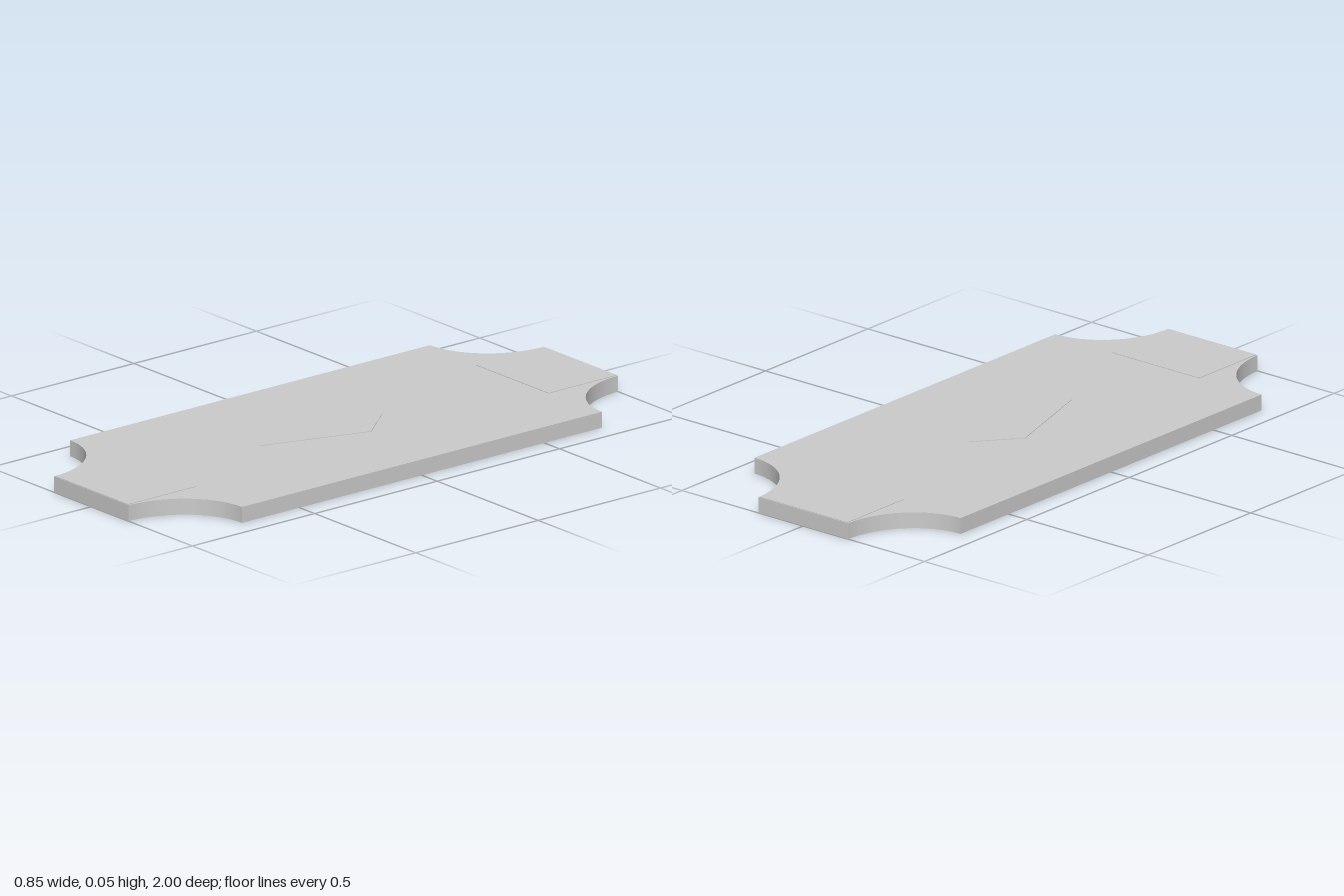
import * as THREE from 'three';

const HALF_W = 0.425, HALF_L = 1, THICK = 0.053, RAISE = 0.002;
const NOTCH_X = 0.24, NOTCH_Z = 0.265;

// Extrudes a shape drawn in (x, z) upwards from height y
function slab(name, shape, y, height, material) {
  const geometry = new THREE.ExtrudeGeometry(shape, { depth: height, bevelEnabled: false, curveSegments: 24 });
  geometry.rotateX(Math.PI / 2); // shape y becomes z, depth goes down
  geometry.translate(0, y + height, 0);
  const mesh = new THREE.Mesh(geometry, material);
  mesh.name = name;
  return mesh;
}

const polygon = (points) => new THREE.Shape(points.map(([x, z]) => new THREE.Vector2(x, z)));

export function createModel() {
  const model = new THREE.Group();
  model.name = 'notchedPlate';
  const material = new THREE.MeshStandardMaterial({ color: 0xcccccc });

  // Plate outline with a concave elliptical bite at each corner
  const outline = new THREE.Shape();
  const q = Math.PI / 2;
  outline.moveTo(HALF_W, -HALF_L + NOTCH_Z);
  [[1, 1, 3 * q], [-1, 1, 4 * q], [-1, -1, q], [1, -1, 2 * q]].forEach(([sx, sz, start]) => {
    outline.absellipse(sx * HALF_W, sz * HALF_L, NOTCH_X, NOTCH_Z, start, start - q, true);
  });
  model.add(slab('plate', outline, 0, THICK, material));

  // Thin raised panel at each end
  for (const [name, s] of [['frontPanel', 1], ['backPanel', -1]]) {
    const panel = polygon([[-0.18, s * 0.72], [0.18, s * 0.72], [0.18, s * 0.998], [-0.18, s * 0.998]]);
    model.add(slab(name, panel, THICK, RAISE, material));
  }

  // Thin raised kite in the middle, long point towards the front
  const kite = polygon([[0, 0.31], [-0.113, -0.05], [0, -0.19], [0.113, -0.05]]);
  model.add(slab('centreKite', kite, THICK, RAISE, material));

  return model;
}
